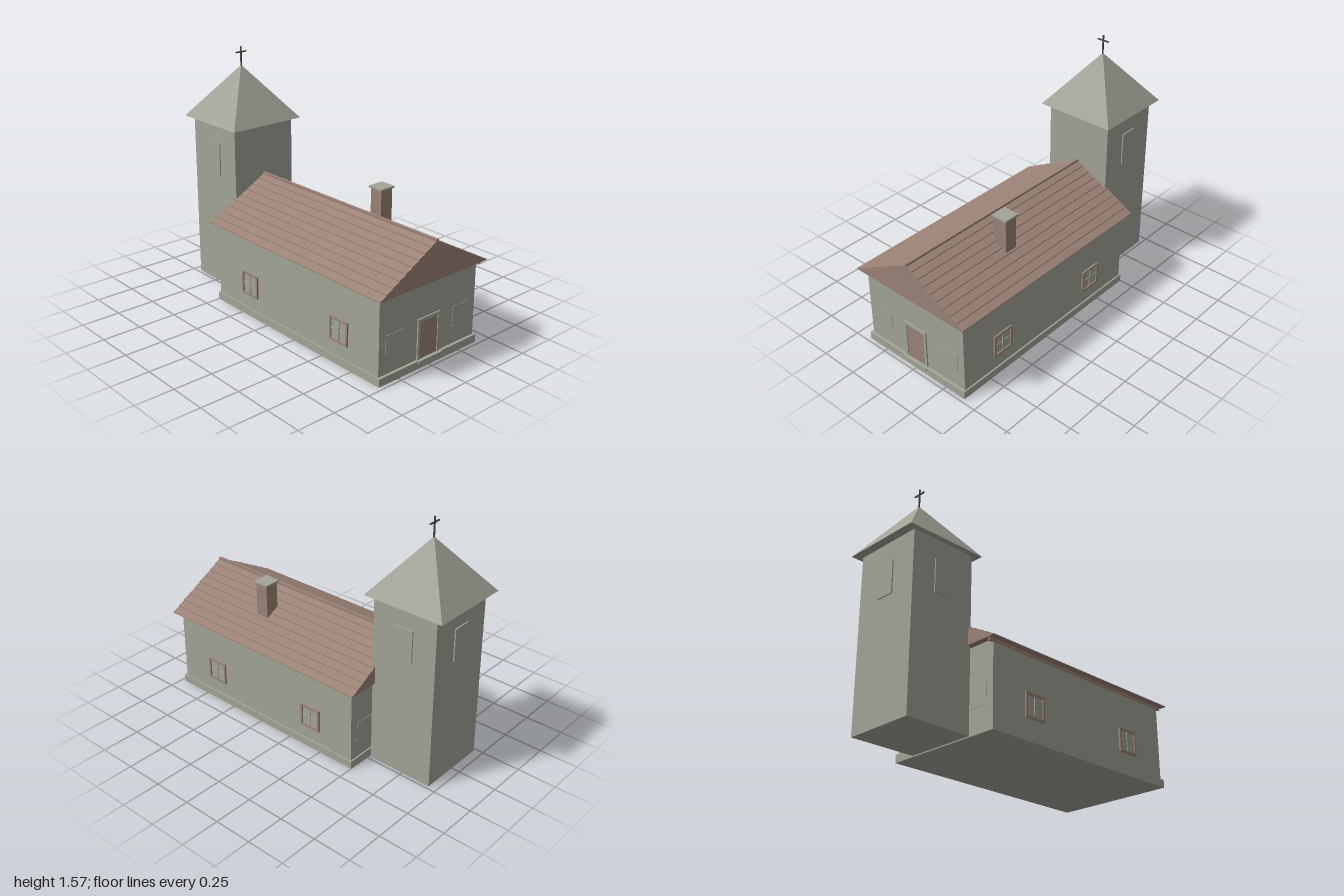
import * as THREE from 'three';

export function createModel() {
  const group = new THREE.Group();
  const mat = (name, color) => {
    const m = new THREE.MeshStandardMaterial({ color });
    m.name = name;
    return m;
  };
  const stone = mat('stone grey', 0xa3a599);
  const brown = mat('red brown', 0x9c8377);
  const iron = mat('dark iron', 0x4a4a46);

  const add = (name, geometry, material, parent = group) => {
    const mesh = new THREE.Mesh(geometry, material);
    mesh.name = name;
    parent.add(mesh);
    return mesh;
  };
  // Box given by its limits on each axis
  const box = (name, x0, x1, y0, y1, z0, z1, material, parent) => {
    const mesh = add(name, new THREE.BoxGeometry(x1 - x0, y1 - y0, z1 - z0), material, parent);
    mesh.position.set((x0 + x1) / 2, (y0 + y1) / 2, (z0 + z1) / 2);
    return mesh;
  };

  // Nave
  box('plinth', -0.4, 0.4, 0, 0.05, -0.5, 0.975, stone);
  box('naveWalls', -0.39, 0.39, 0.05, 0.53, -0.49, 0.957, stone);
  for (const s of [-1, 1]) {
    const a = s * 0.38, b = s * 0.396;
    box('eaveBeam', Math.min(a, b), Math.max(a, b), 0.513, 0.535, -0.52, 0.985, brown);
  }

  // Plank roof: saw-toothed gable section drawn along the nave
  const eaveX = 0.432, eaveY = 0.53, ridgeY = 0.767, planks = 9, lip = 0.006;
  const side = [];
  for (let i = 0; i < planks; i++) {
    const at = (t) => [eaveX * (1 - t), eaveY + (ridgeY - eaveY) * t];
    const [x0, y0] = at(i / planks), [x1, y1] = at((i + 1) / planks);
    side.push([x0, y0], [x0, y0 + lip], [x1, y1]);
  }
  side.pop();
  const section = new THREE.Shape();
  section.moveTo(-eaveX, eaveY);
  side.forEach(([x, y]) => section.lineTo(x, y));
  section.lineTo(0, ridgeY);
  side.slice(1).reverse().forEach(([x, y]) => section.lineTo(-x, y));
  section.closePath();
  const roof = add('naveRoof',
    new THREE.ExtrudeGeometry(section, { depth: 1.53, bevelEnabled: false }), brown);
  roof.position.z = -0.53;
  box('ridgeBeam', -0.009, 0.009, 0.755, 0.777, -0.53, 1, brown);

  // Chimney
  box('chimney', 0.138, 0.228, 0.62, 0.866, 0.336, 0.424, brown);
  box('chimneyCap', 0.128, 0.238, 0.866, 0.877, 0.326, 0.434, stone);

  // Framed side window, facing +z before it is turned
  const sideWindow = (x, z, turn) => {
    const g = new THREE.Group();
    g.name = 'sideWindow';
    const r = 0.075, f = 0.013;
    box('windowPane', -r, r, -r, r, -0.005, 0.002, stone, g);
    for (const s of [-1, 1]) {
      const lo = s < 0 ? -r : r - f, hi = lo + f;
      box('frameUpright', lo, hi, -r, r, -0.005, 0.011, brown, g);
      box('frameRail', -r + f, r - f, lo, hi, -0.005, 0.011, brown, g);
    }
    box('verticalBar', -0.004, 0.004, -r + f, r - f, 0, 0.007, stone, g);
    box('crossBar', -r + f, r - f, -0.005, 0.005, 0, 0.006, stone, g);
    g.position.set(x, 0.215, z);
    g.rotation.y = turn;
    group.add(g);
  };
  for (const s of [-1, 1]) {
    for (const z of [0.64, -0.17]) sideWindow(s * 0.39, z, s * Math.PI / 2);
  }

  // Gable end fittings: door with surround, and a shallow panel on either side
  const gableEnd = (z, turn) => {
    const g = new THREE.Group();
    g.name = 'gableEnd';
    box('door', -0.072, 0.072, 0.05, 0.285, -0.005, 0.004, brown, g);
    for (const s of [-1, 1]) {
      const lo = s < 0 ? -0.09 : 0.072;
      box('doorPost', lo, lo + 0.018, 0.05, 0.305, -0.005, 0.009, stone, g);
      box('wallPanel', s * 0.27 - 0.068, s * 0.27 + 0.068, 0.16, 0.29, -0.004, 0.003, stone, g);
    }
    box('doorLintel', -0.072, 0.072, 0.285, 0.305, -0.005, 0.009, stone, g);
    box('doorSill', -0.096, 0.096, 0.035, 0.05, 0, 0.026, stone, g);
    g.position.z = z;
    g.rotation.y = turn;
    group.add(g);
  };
  gableEnd(0.957, 0);
  gableEnd(-0.49, Math.PI);

  // Tower with belfry shutters on the sides and back
  const tz = -0.73;
  box('towerWalls', -0.23, 0.23, 0, 1.105, -0.945, -0.513, stone);
  for (const s of [-1, 1]) {
    const x = s * 0.233;
    box('sideShutter', x - 0.005, x + 0.005, 0.765, 0.975, tz - 0.06, tz + 0.06, stone);
  }
  box('backShutter', -0.06, 0.06, 0.765, 0.975, -0.953, -0.943, stone);

  // Pyramid roof
  const spire = new THREE.ConeGeometry(0.267 * Math.SQRT2, 0.343, 4).rotateY(Math.PI / 4).toNonIndexed();
  spire.computeVertexNormals();
  add('towerRoof', spire, stone).position.set(0, 1.1025 + 0.1715, -0.733);

  // Cross on the tower
  box('crossPost', -0.004, 0.004, 1.435, 1.565, -0.736, -0.728, iron);
  box('crossArm', -0.041, 0.041, 1.526, 1.534, -0.736, -0.728, iron);

  return group;
}
